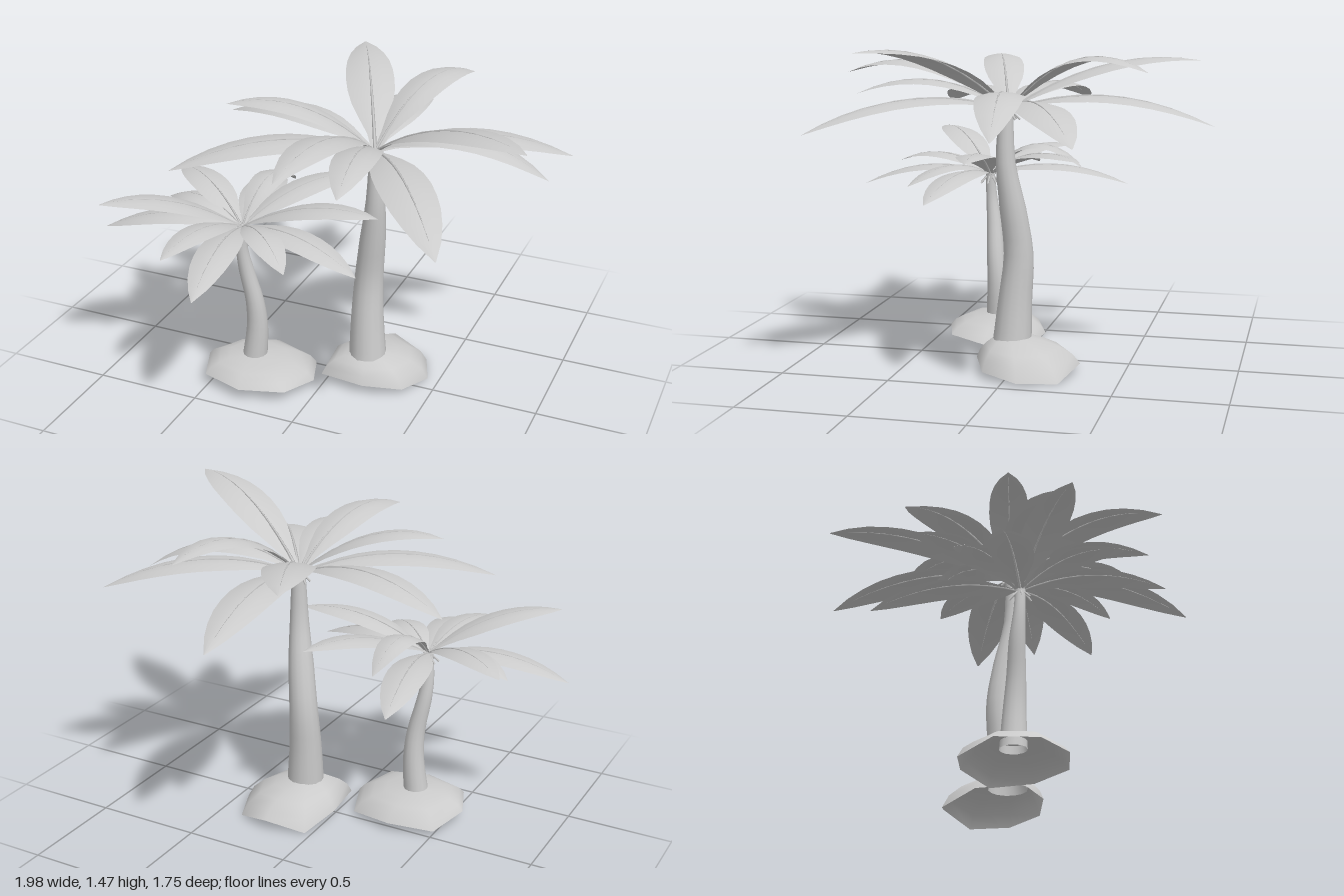
import * as THREE from 'three';

const material = new THREE.MeshStandardMaterial({ color: 0xcccccc });
const thinMaterial = new THREE.MeshStandardMaterial({ color: 0xcccccc, side: THREE.DoubleSide });

// Skins a list of equally long rows of points
function skin(rows, closed) {
  const n = rows[0].length, index = [];
  for (let i = 0; i < rows.length - 1; i++) {
    for (let j = 0; j < (closed ? n : n - 1); j++) {
      const k = (j + 1) % n;
      const a = i * n + j, b = i * n + k, c = a + n, d = b + n;
      index.push(a, c, b, b, c, d);
    }
  }
  const geometry = new THREE.BufferGeometry().setFromPoints(rows.flat());
  geometry.setIndex(index);
  geometry.computeVertexNormals();
  return geometry;
}

function addMesh(parent, name, geometry, mat = material) {
  const mesh = new THREE.Mesh(geometry, mat);
  mesh.name = name;
  parent.add(mesh);
}

// Horizontal ring of points
function ring(x, y, z, r, sides) {
  return Array.from({ length: sides }, (_, j) => {
    const a = (j / sides) * Math.PI * 2;
    return new THREE.Vector3(x + Math.cos(a) * r, y, z + Math.sin(a) * r);
  });
}

// Bent, tapering, open-ended trunk; stations are [x, y, z, radius]
function addTrunk(tree, stations) {
  const path = new THREE.CatmullRomCurve3(stations.map(([x, y, z]) => new THREE.Vector3(x, y, z)));
  const steps = (stations.length - 1) * 3, rows = [];
  for (let i = 0; i <= steps; i++) {
    const k = Math.min(Math.floor(i / 3), stations.length - 2), f = i / 3 - k;
    const p = path.getPoint(i / steps);
    const r = THREE.MathUtils.lerp(stations[k][3], stations[k + 1][3], f);
    rows.push(ring(p.x, p.y, p.z, r, 14));
  }
  addMesh(tree, 'trunk', skin(rows, true), thinMaterial);
}

// Shallow shell of earth around the trunk with an uneven, sharp rim
function addMound(tree, { x, z, rx, rz, top, peak, hole, rimY, reach }) {
  const n = rimY.length;
  const profile = [[hole, 1], [0.5, 0.88], [0.72, 0.68], [0.9, 0.38], [1, 0]];
  const rows = profile.map(([s, h]) => rimY.map((low, j) => {
    const a = -(j / n) * Math.PI * 2;
    return new THREE.Vector3(
      THREE.MathUtils.lerp(peak[0], x + Math.cos(a) * rx * reach[j], s),
      low + (top - low) * h,
      THREE.MathUtils.lerp(peak[1], z - Math.sin(a) * rz * reach[j], s));
  }).reverse());
  addMesh(tree, 'mound', skin(rows, true), thinMaterial);
}

// Arched frond with slightly drooping edges and a raised midrib; tip is [x, y, z, own arch]
const bladeWidth = [0.12, 0.28, 0.58, 0.83, 0.96, 1, 0.97, 0.88, 0.7, 0.43, 0.02];
function addFrond(tree, crown, [x, y, z, arch]) {
  const end = new THREE.Vector3(x, y, z);
  const middle = crown.clone().lerp(end, 0.5);
  middle.y += arch * 2;
  const path = new THREE.QuadraticBezierCurve3(crown, middle, end);
  const reach = Math.hypot(end.x - crown.x, end.z - crown.z);
  const side = new THREE.Vector3(crown.z - end.z, 0, end.x - crown.x).normalize();
  const rows = bladeWidth.map((w, i) => {
    const p = path.getPoint(i / (bladeWidth.length - 1));
    const half = w * (0.036 + reach * 0.087);
    return [1, 0.5, 0, -0.5, -1].map(s => {
      const q = p.clone().addScaledVector(side, s * half);
      q.y -= half * 0.18 * s * s;
      return q;
    });
  });
  const frond = new THREE.Group();
  frond.name = 'frond';
  addMesh(frond, 'blade', skin(rows, false), thinMaterial);
  const ribRows = [];
  for (let i = 0; i <= 8; i++) {
    const p = path.getPoint(i / 8 * 0.9);
    const r = 0.009 * reach * (1.1 - i / 8);
    ribRows.push([[1, 0], [0, 1], [-1, 0], [0, -1]].map(([s, h]) => {
      const q = p.clone().addScaledVector(side, s * r);
      q.y += h * r;
      return q;
    }));
  }
  addMesh(frond, 'midrib', skin(ribRows, true), thinMaterial);
  tree.add(frond);
}

function buildTree(name, { trunk, mound, crown, arch, fronds }) {
  const tree = new THREE.Group();
  tree.name = name;
  addMound(tree, mound);
  addTrunk(tree, trunk);
  const centre = new THREE.Vector3(...crown);
  for (const [x, y, z, own = arch] of fronds) addFrond(tree, centre, [x, y, z, own]);
  // Short stalk stubs around the trunk top
  for (let i = 0; i < 7; i++) {
    const a = i * 0.9;
    const stub = new THREE.LineCurve3(
      centre.clone().add(new THREE.Vector3(0, 0.01, 0)),
      centre.clone().add(new THREE.Vector3(Math.cos(a) * 0.05, -0.04, Math.sin(a) * 0.05)));
    addMesh(tree, 'stalkStub', new THREE.TubeGeometry(stub, 1, 0.005, 5));
  }
  return tree;
}

export function createModel() {
  const group = new THREE.Group();
  group.name = 'palmTrees';

  group.add(buildTree('tallPalm', {
    trunk: [[0.175, 0.1, 0.014, 0.09], [0.165, 0.32, 0, 0.077], [0.165, 0.53, -0.016, 0.067],
      [0.188, 0.74, 0.005, 0.06], [0.21, 0.95, 0.032, 0.044], [0.21, 1.19, 0.03, 0.031]],
    mound: { x: 0.21, z: -0.07, rx: 0.24, rz: 0.24, top: 0.15, peak: [0.17, 0.025], hole: 0.28,
      rimY: [0.01, 0.03, 0.05, 0.05, 0.05, 0, 0.05, 0],
      reach: [1, 1, 1, 1.28, 1, 1.05, 1, 1.02] },
    crown: [0.2, 1.18, 0.02],
    arch: 0.098,
    fronds: [[-0.17, 1.39, -0.78, 0.09], [0.12, 1.12, -0.88], [0.44, 1.37, -0.63, 0.14],
      [0.98, 1.115, -0.42], [0.955, 1.125, -0.09, 0.135], [0.99, 1.465, 0.455, 0.1],
      [0.745, 1.11, 0.775], [0.3, 1.25, 0.69], [0.08, 1.33, 0.81, 0.125],
      [-0.565, 1.15, 0.5], [-0.42, 1.38, 0.22], [-0.61, 1.175, -0.195, 0.105]],
  }));

  group.add(buildTree('shortPalm', {
    trunk: [[-0.33, 0.09, 0.205, 0.06], [-0.31, 0.28, 0.205, 0.05], [-0.315, 0.42, 0.215, 0.043],
      [-0.345, 0.58, 0.23, 0.036], [-0.357, 0.7, 0.245, 0.027], [-0.35, 0.82, 0.25, 0.022]],
    mound: { x: -0.3, z: 0.2, rx: 0.275, rz: 0.24, top: 0.13, peak: [-0.335, 0.206], hole: 0.16,
      rimY: [0.04, 0.06, 0.06, 0.06, 0.06, 0.02, 0.04, 0.02],
      reach: [1, 1.05, 1, 1.05, 1, 1.05, 1, 1.08] },
    crown: [-0.35, 0.81, 0.25],
    arch: 0.072,
    fronds: [[-0.46, 0.77, -0.41], [-0.83, 0.9, -0.075], [-0.8, 0.82, 0.105], [-0.99, 0.745, 0.375],
      [-0.85, 0.99, 0.63], [-0.485, 0.85, 0.75], [-0.275, 0.755, 0.87], [0, 0.79, 0.56],
      [0.286, 0.945, 0.2], [0.265, 0.75, 0.4], [-0.3, 0.86, -0.22, 0.135], [0.02, 0.93, -0.265]],
  }));

  return group;
}
